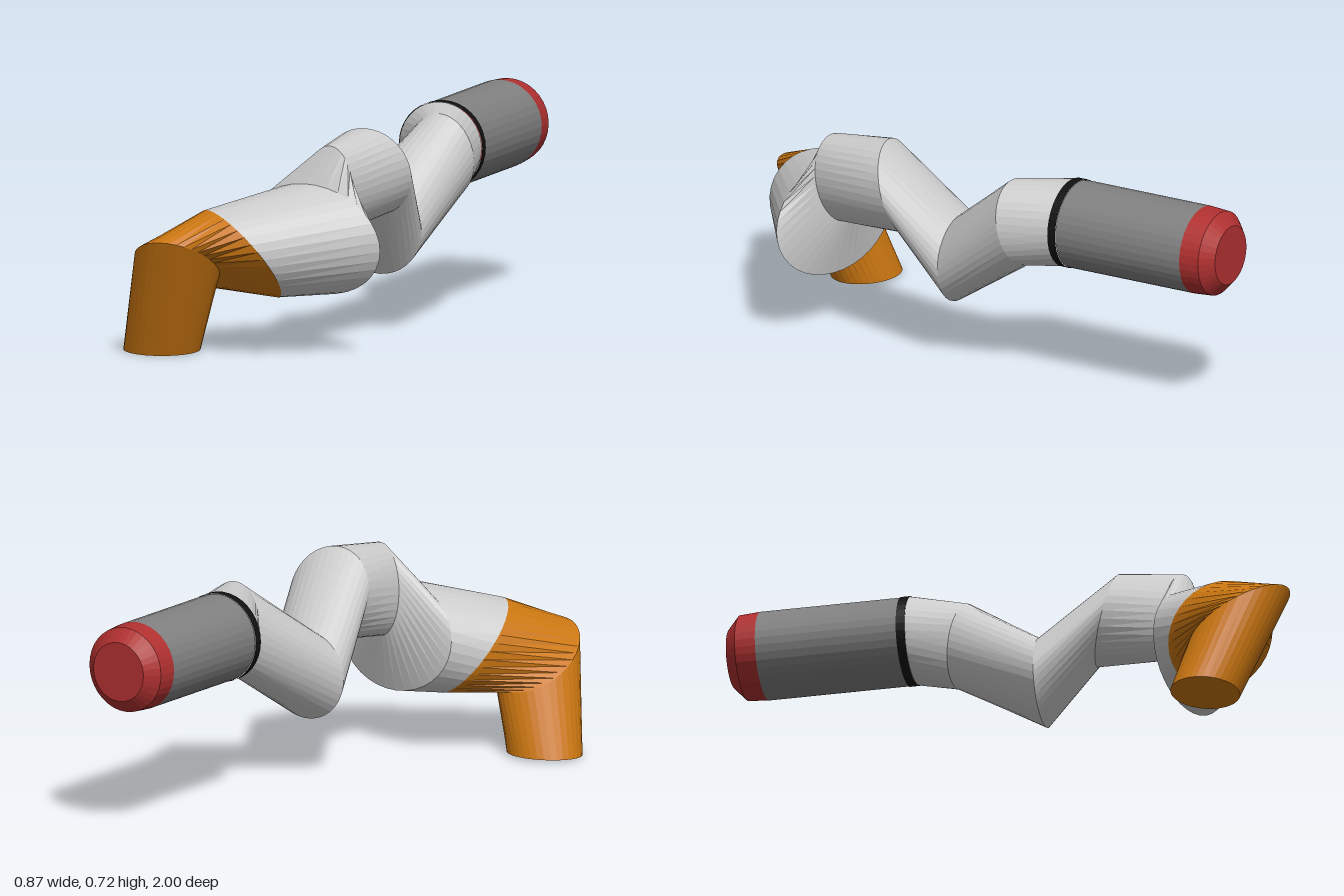
import * as THREE from 'three';

const SIDES = 36;

// An elliptical joint ring: centre plus two half-axis vectors, optionally turned
const ring = (c, u, v, turn = 0) => ({ c, u, v, turn });
const disc = (z, r, x = 0.22, y = 0.555) => ring([x, y, z], [r, 0, 0], [0, r, 0]);
const point = (c) => ring(c, [0, 0, 0], [0, 0, 0]);

// Skin a tube through a list of rings
function loft(rings) {
  const pos = [], idx = [];
  rings.forEach(({ c, u, v, turn }) => {
    for (let j = 0; j < SIDES; j++) {
      const a = (j / SIDES) * Math.PI * 2 + turn;
      for (let k = 0; k < 3; k++) pos.push(c[k] + u[k] * Math.cos(a) + v[k] * Math.sin(a));
    }
  });
  for (let i = 0; i < rings.length - 1; i++) {
    for (let j = 0; j < SIDES; j++) {
      const n = (j + 1) % SIDES;
      const a = i * SIDES + j, b = a + SIDES, c = (i + 1) * SIDES + n, d = i * SIDES + n;
      idx.push(a, b, c, a, c, d);
    }
  }
  const geo = new THREE.BufferGeometry();
  geo.setAttribute('position', new THREE.Float32BufferAttribute(pos, 3));
  geo.setIndex(idx);
  geo.computeVertexNormals();
  return geo;
}

export function createModel() {
  const group = new THREE.Group();
  const add = (name, color, rings) => {
    const mat = new THREE.MeshStandardMaterial({ color, flatShading: true, side: THREE.DoubleSide });
    const mesh = new THREE.Mesh(loft(rings), mat);
    mesh.name = name;
    group.add(mesh);
  };

  // Joints from the foot to the straight rear barrel
  const foot = ring([-0.31, 0.005, 0.735], [0.13, 0, 0], [0, -0.005, 0.115]);
  const knee = ring([-0.215, 0.31, 0.83], [0.143, 0, 0], [0.015, 0.095, 0.165]);
  const seam = ring([-0.03, 0.34, 0.72], [0.15, -0.02, 0.12], [-0.06, 0.15, 0.1]);
  const elbow = ring([0.17, 0.38, 0.57], [0.26, -0.02, 0.06], [0.015, 0.185, 0.03]);
  const elbowTurned = { ...elbow, turn: Math.PI / 6 };
  const neck = ring([0.205, 0.538, 0.525], [0.097, 0, 0.033], [0.01, 0.153, 0.022]);
  const crest = ring([0.24, 0.567, 0.275], [0.143, 0, -0.02], [0, 0.152, 0.045]);
  const dip = disc(0.065, 0.15, 0.19, 0.34);
  const bend = ring([0.29, 0.55, -0.23], [0.122, 0, 0.02], [0, 0.145, 0.03]);

  // Bent orange end, closed at the foot
  add('endSection', 0xcc7711, [point(foot.c), foot, knee, seam]);

  // Light grey jointed arm
  add('wideSection', 0xcccccc, [seam, elbow]);
  add('arm', 0xcccccc, [elbowTurned, neck, crest, dip, bend, disc(-0.38, 0.148)]);

  // Straight rear barrel with its band and chamfered cap
  add('band', 0x111111, [disc(-0.38, 0.15), disc(-0.41, 0.15)]);
  add('barrel', 0x808080, [disc(-0.41, 0.148), disc(-0.89, 0.148)]);
  add('cap', 0xb03030, [
    disc(-0.89, 0.148), disc(-0.96, 0.143), disc(-1, 0.1), point([0.22, 0.555, -1]),
  ]);

  return group;
}
